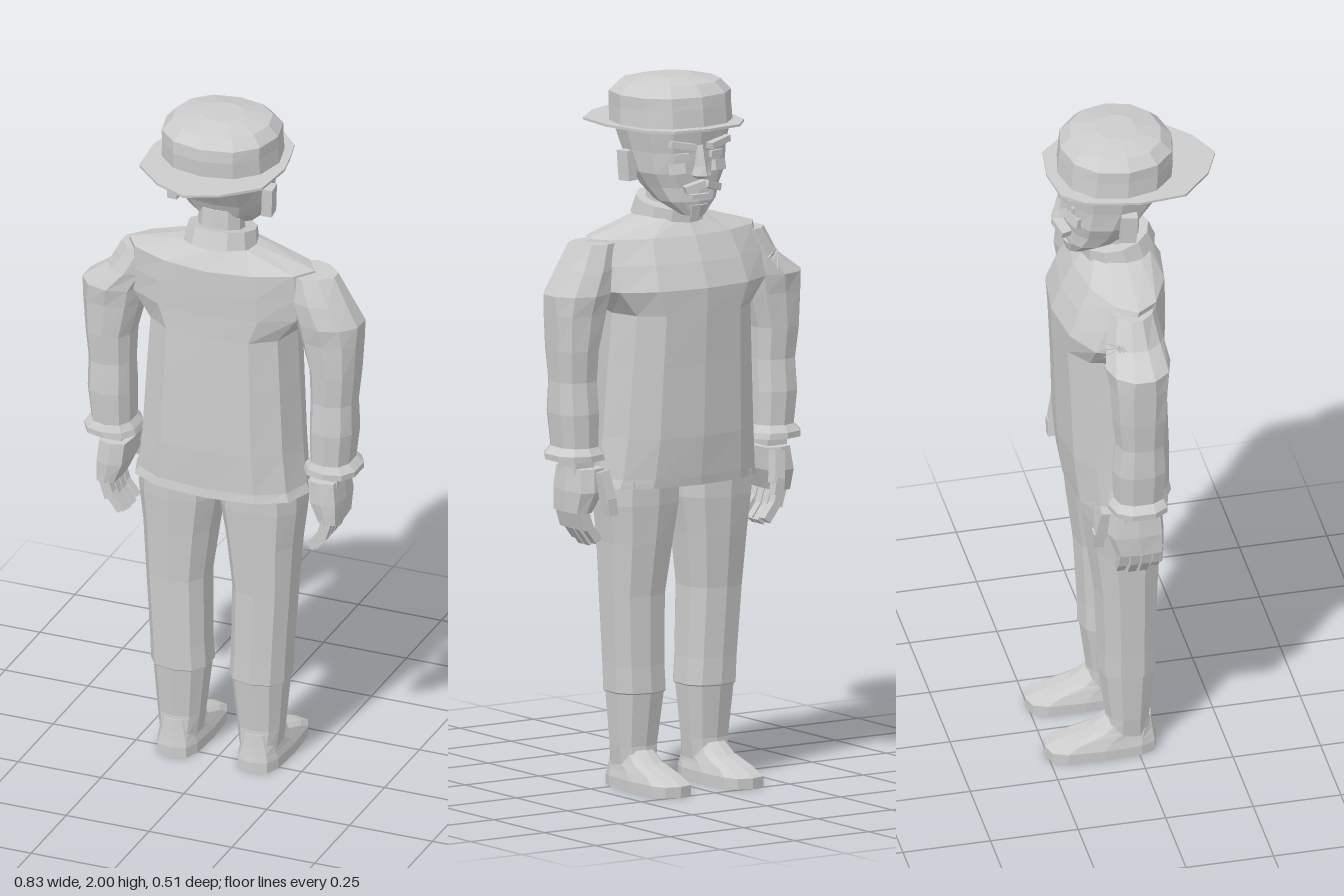
import * as THREE from 'three';

const grey = new THREE.MeshStandardMaterial({ color: 0xcccccc, flatShading: true });
grey.name = 'plain grey';

// One cross-section: height, centre x, half width, back z, front z, exponent (below 1 boxy, above 1 pointed)
function ring([y, cx, rx, back, front, e = 0.8], n, side) {
  const bend = (v) => Math.sign(v) * Math.pow(Math.abs(v) < 1e-9 ? 0 : Math.abs(v), e);
  const points = [];
  for (let i = 0; i < n; i++) {
    const t = (i / n) * Math.PI * 2;
    points.push([
      side * cx + rx * bend(Math.sin(t)), y,
      (back + front) / 2 + ((back - front) / 2) * bend(Math.cos(t)),
    ]);
  }
  return points;
}

// Closed faceted solid through a stack of cross-sections, bottom to top
function loft(sections, n = 12, side = 1) {
  const rings = sections.map((s) => ring(s, n, side));
  const pos = [];
  const tri = (a, b, c) => pos.push(...a, ...b, ...c);
  for (let k = 0; k + 1 < rings.length; k++) {
    for (let i = 0; i < n; i++) {
      const j = (i + 1) % n;
      tri(rings[k][i], rings[k][j], rings[k + 1][j]);
      tri(rings[k][i], rings[k + 1][j], rings[k + 1][i]);
    }
  }
  const last = rings[rings.length - 1];
  for (let i = 1; i + 1 < n; i++) {
    tri(rings[0][0], rings[0][i + 1], rings[0][i]);
    tri(last[0], last[i], last[i + 1]);
  }
  const geometry = new THREE.BufferGeometry();
  geometry.setAttribute('position', new THREE.Float32BufferAttribute(pos, 3));
  geometry.computeVertexNormals();
  return geometry;
}

function add(parent, name, geometry, position = [0, 0, 0], rotation = [0, 0, 0]) {
  const mesh = new THREE.Mesh(geometry, grey);
  mesh.name = name;
  mesh.position.set(...position);
  mesh.rotation.set(...rotation);
  parent.add(mesh);
  return mesh;
}

const box = (x, y, z) => new THREE.BoxGeometry(x, y, z);

function addHead(group) {
  add(group, 'neck', loft([
    [1.56, 0, 0.07, 0.05, -0.08, 1], [1.72, 0, 0.065, 0.035, -0.08, 1],
  ], 10));
  add(group, 'collar', new THREE.CylinderGeometry(0.098, 0.107, 0.05, 12), [0, 1.625, -0.025], [-0.22, 0, 0]);
  add(group, 'head', loft([
    [1.62, 0, 0.035, -0.11, -0.165], [1.66, 0, 0.085, -0.03, -0.172],
    [1.7, 0, 0.108, 0.02, -0.168], [1.74, 0, 0.13, 0.04, -0.172],
    [1.8, 0, 0.14, 0.085, -0.175], [1.86, 0, 0.153, 0.112, -0.185],
    [1.9, 0, 0.15, 0.11, -0.18],
  ]));

  // Face
  add(group, 'nose', loft([
    [1.725, 0, 0.012, -0.15, -0.19], [1.735, 0, 0.028, -0.15, -0.21],
    [1.76, 0, 0.018, -0.15, -0.203], [1.82, 0, 0.011, -0.15, -0.188],
  ], 6));
  add(group, 'lowerLip', box(0.06, 0.012, 0.02), [0, 1.675, -0.172]);
  add(group, 'chin', loft([[1.615, 0, 0.025, -0.12, -0.168], [1.65, 0, 0.035, -0.12, -0.18]], 8));
  for (const s of [-1, 1]) {
    add(group, 'eyebrow', box(0.075, 0.018, 0.03), [s * 0.06, 1.823, -0.175], [0, s * -0.25, s * 0.18]);
    add(group, 'eye', box(0.045, 0.018, 0.012), [s * 0.058, 1.79, -0.168], [0, s * -0.25, 0]);
    add(group, 'cheek', box(0.05, 0.03, 0.02), [s * 0.07, 1.755, -0.16], [0.2, s * -0.4, 0]);
    add(group, 'moustache', box(0.06, 0.02, 0.03), [s * 0.027, 1.706, -0.188], [0, s * -0.3, s * -0.3]);
    add(group, 'ear', box(0.03, 0.085, 0.045), [s * 0.142, 1.755, -0.023], [0.05, s * 0.1, s * -0.05]);
  }

  // Hat with a wide pointed flap
  add(group, 'hatCrown', loft([
    [1.86, 0, 0.17, 0.13, -0.195, 0.9], [1.92, 0, 0.167, 0.135, -0.19, 0.9],
    [1.955, 0, 0.168, 0.132, -0.185, 0.9], [1.985, 0, 0.14, 0.1, -0.155, 0.9],
    [2.0, 0, 0.06, 0.03, -0.085, 0.9],
  ], 12));
  const half = [[0.11, -0.21], [0.165, -0.15], [0.185, -0.07], [0.198, 0], [0.185, 0.13], [0.095, 0.215]];
  const outline = [[0, -0.225], ...half, [0, 0.257], ...half.map(([x, z]) => [-x, z]).reverse()];
  const brim = new THREE.ExtrudeGeometry(
    new THREE.Shape(outline.map(([x, z]) => new THREE.Vector2(x, z))), { depth: 0.007, bevelEnabled: false });
  brim.rotateX(Math.PI / 2);
  add(group, 'hatBrim', brim, [0, 1.872, 0]);
}

function addHand(group, s) {
  const hand = new THREE.Group();
  hand.name = 'hand';
  group.add(hand);
  add(hand, 'wrist', box(0.065, 0.08, 0.085), [s * 0.325, 0.935, -0.04]);
  add(hand, 'palm', loft([
    [0.8, 0.335, 0.03, 0.032, -0.105, 0.5], [0.86, 0.322, 0.045, 0.035, -0.125, 0.5],
    [0.925, 0.315, 0.045, 0.03, -0.115, 0.5],
  ], 8, s));
  for (let i = 0; i < 4; i++) {
    const z = 0.015 - i * 0.032;
    const drop = [0.012, 0, 0, 0.008][i];
    add(hand, 'fingerBase', box(0.03, 0.065, 0.027), [s * 0.328, 0.785, z], [0, 0, s * -0.3]);
    add(hand, 'fingerTip', box(0.025, 0.06, 0.024), [s * 0.302, 0.732 + drop, z], [0, 0, s * -0.65]);
  }
  add(hand, 'thumb', box(0.032, 0.09, 0.035), [s * 0.29, 0.875, -0.13], [0.2, 0, s * -0.15]);
  add(hand, 'thumbTip', box(0.028, 0.05, 0.03), [s * 0.282, 0.822, -0.143], [0, 0, s * -0.15]);
}

function addArm(group, s) {
  // The shoulder on the right is torn away at the top
  const shoulder = s > 0
    ? [[1.48, 0.29, 0.095, 0.05, -0.12, 1.1], [1.553, 0.26, 0.085, 0.03, -0.1, 1.2]]
    : [[1.47, 0.27, 0.075, 0.045, -0.115, 1.1], [1.545, 0.23, 0.075, 0.03, -0.1, 1.2]];
  add(group, 'sleeve', loft([
    [0.948, 0.33, 0.08, 0.045, -0.125], [0.965, 0.333, 0.078, 0.045, -0.125],
    [0.985, 0.33, 0.06, 0.035, -0.11], [1.08, 0.335, 0.066, 0.04, -0.115],
    [1.17, 0.335, 0.064, 0.033, -0.105], [1.26, 0.338, 0.07, 0.04, -0.115],
    [1.36, 0.328, 0.087, 0.045, -0.12], [1.415, 0.32, 0.1, 0.055, -0.13, 1], ...shoulder,
  ], 10, s));
  addHand(group, s);
}

// Ragged splinters fanning out over the torn shoulder
function addTear(group) {
  const centre = new THREE.Vector3(-0.315, 1.475, -0.085);
  const out = new THREE.Vector3(-0.6, 0.6, -0.5).normalize();
  const across = new THREE.Vector3(0, 1, 0).cross(out).normalize();
  const up = out.clone().cross(across);
  for (let i = 0; i < 18; i++) {
    const angle = (i / 18) * Math.PI * 2;
    const length = 0.055 + 0.028 * ((i * 7) % 5) / 4;
    const direction = across.clone().multiplyScalar(Math.cos(angle))
      .addScaledVector(up, Math.sin(angle)).addScaledVector(out, -0.25).normalize();
    const cone = new THREE.ConeGeometry(0.009, length, 4);
    cone.translate(0, length / 2, 0);
    const shard = add(group, 'tornCloth', cone, centre.toArray());
    shard.quaternion.setFromUnitVectors(new THREE.Vector3(0, 1, 0), direction);
  }
}

function addLeg(group, s) {
  add(group, 'trouserLeg', loft([
    [0.06, 0.12, 0.058, 0.045, -0.09], [0.12, 0.12, 0.066, 0.04, -0.085],
    [0.27, 0.118, 0.08, 0.055, -0.105], [0.274, 0.118, 0.086, 0.06, -0.11],
    [0.35, 0.122, 0.085, 0.06, -0.11], [0.55, 0.13, 0.09, 0.062, -0.12],
    [0.7, 0.125, 0.104, 0.07, -0.14], [0.81, 0.122, 0.12, 0.077, -0.152],
    [0.88, 0.122, 0.12, 0.08, -0.155],
  ], 10, s));
  add(group, 'shoe', loft([
    [0, 0.122, 0.066, 0.06, -0.258, 0.6], [0.03, 0.122, 0.066, 0.06, -0.258, 0.6],
    [0.05, 0.122, 0.06, 0.055, -0.215, 0.6], [0.075, 0.122, 0.054, 0.05, -0.13, 0.7],
    [0.11, 0.122, 0.045, 0.045, -0.085, 0.8],
  ], 12, s));
}

export function createModel() {
  const group = new THREE.Group();
  group.name = 'standingFigure';

  // Jacket body, widening into the shoulders
  add(group, 'jacket', loft([
    [0.86, 0, 0.26, 0.112, -0.178], [0.885, 0, 0.25, 0.108, -0.182],
    [1.0, 0, 0.237, 0.11, -0.195], [1.2, 0, 0.225, 0.105, -0.202],
    [1.35, 0, 0.215, 0.1, -0.21], [1.42, 0, 0.28, 0.098, -0.212, 0.9],
    [1.49, 0, 0.285, 0.1, -0.185, 1], [1.56, 0, 0.28, 0.1, -0.15, 1.1],
    [1.61, 0, 0.105, 0.07, -0.11, 1],
  ]));
  for (const s of [-1, 1]) {
    addArm(group, s);
    addLeg(group, s);
  }
  addTear(group);
  addHead(group);
  return group;
}
